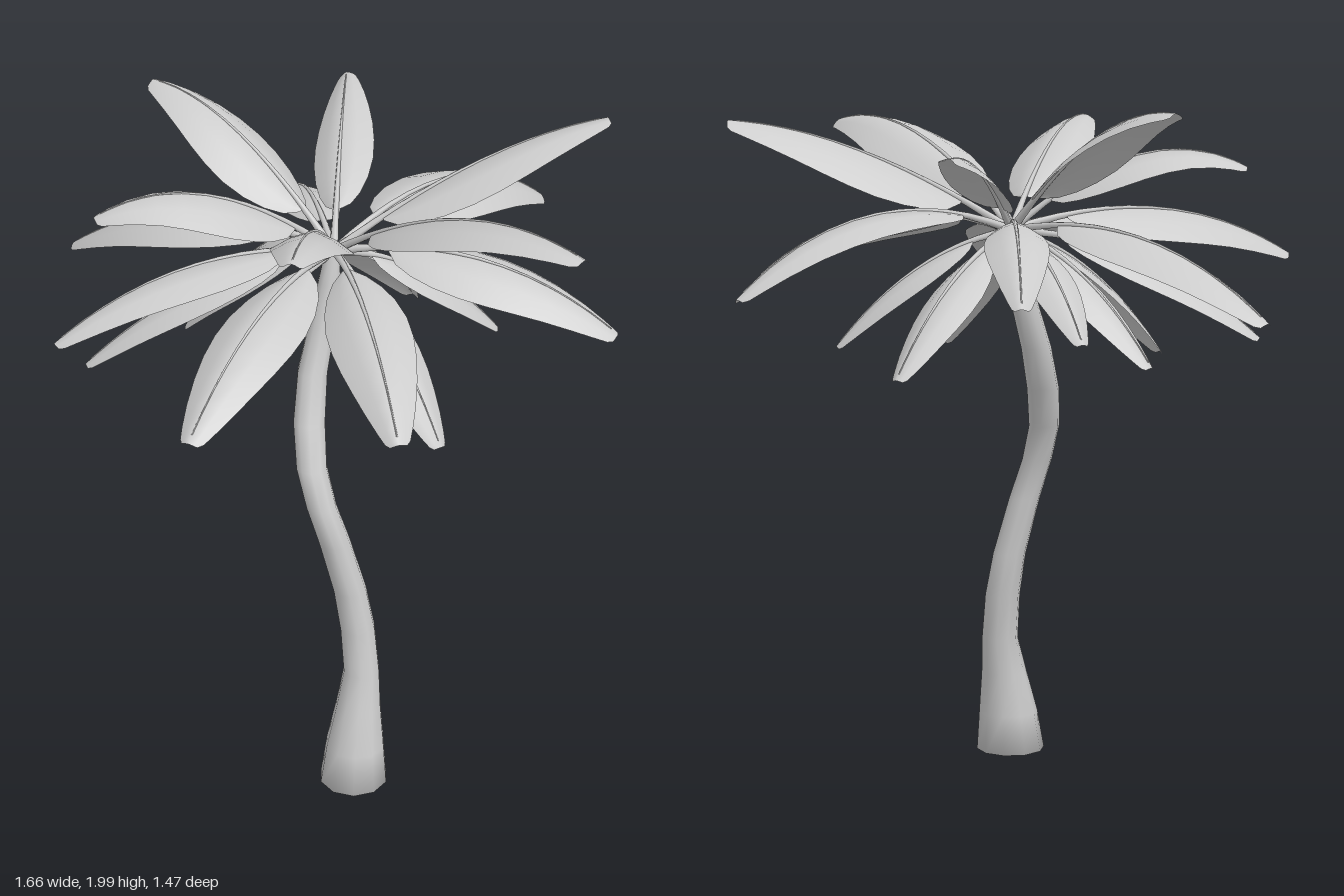
import * as THREE from 'three';

const V = (x, y, z) => new THREE.Vector3(x, y, z);
const grey = new THREE.MeshStandardMaterial({ color: 0xcccccc });
const leafGrey = new THREE.MeshStandardMaterial({ color: 0xcccccc, side: THREE.DoubleSide });

// Skin a list of cross-sections (each an array of points) into one smooth surface.
function loft(sections, closed) {
  const n = sections[0].length;
  const index = [];
  for (let i = 0; i < sections.length - 1; i++) {
    for (let j = 0; j < (closed ? n : n - 1); j++) {
      const a = i * n + j, b = i * n + (j + 1) % n;
      index.push(a, a + n, b, b, a + n, b + n);
    }
  }
  const geo = new THREE.BufferGeometry().setFromPoints(sections.flat());
  geo.setIndex(index);
  geo.computeVertexNormals();
  return geo;
}

// Ring of points spanned by two axes.
function ring(center, u, v, r, sides) {
  return Array.from({ length: sides }, (_, j) => {
    const a = (j / sides) * Math.PI * 2;
    return center.clone().addScaledVector(u, r * Math.cos(a)).addScaledVector(v, r * Math.sin(a));
  });
}

// Trunk stations: x, y, z, radius (the first closes the foot)
const TRUNK = [
  [-0.018, 0, 0.255, 0.001], [-0.018, 0, 0.255, 0.104], [-0.01, 0.12, 0.245, 0.09],
  [0.005, 0.25, 0.23, 0.069], [0.02, 0.36, 0.212, 0.055], [0.014, 0.5, 0.192, 0.053],
  [-0.005, 0.63, 0.176, 0.05], [-0.05, 0.8, 0.17, 0.047], [-0.085, 0.92, 0.15, 0.045],
  [-0.1, 1.03, 0.105, 0.046], [-0.088, 1.15, 0.045, 0.048], [-0.06, 1.28, -0.01, 0.045],
  [-0.02, 1.42, -0.04, 0.04], [0.005, 1.54, -0.052, 0.034], [0.015, 1.64, -0.058, 0.02],
];

function trunk() {
  const rings = TRUNK.map(([x, y, z, r]) => ring(V(x, y, z), V(1, 0, 0), V(0, 0, 1), r, 10));
  const mesh = new THREE.Mesh(loft(rings, true), grey);
  mesh.name = 'trunk';
  return mesh;
}

const CROWN = V(0.02, 1.63, -0.06);

// Leaves: tip x, y, z, half width, arch height, roll
const LEAVES = [
  // upper tier, rising
  [-0.36, 1.99, -0.59, 0.125, 0.09, 0], [0.27, 1.88, -0.71, 0.09, 0.06, -0.25],
  [0.46, 1.91, 0.72, 0.135, 0.11, -0.2], [0.83, 1.95, -0.02, 0.135, 0.06, -0.25],
  [-0.29, 1.93, 0.54, 0.11, 0.08, 0], [-0.66, 1.81, -0.12, 0.125, 0.12, 0],
  // middle tier, arching over
  [0.83, 1.49, -0.49, 0.13, 0.14, 0.2], [-0.59, 1.43, -0.73, 0.12, 0.11, 0],
  [0.08, 1.48, -0.73, 0.09, 0.11, 0], [0.72, 1.47, 0.38, 0.125, 0.11, 0.1],
  [-0.05, 1.44, 0.72, 0.115, 0.1, 0.15], [-0.58, 1.44, 0.54, 0.12, 0.1, 0],
  [-0.83, 1.54, 0.07, 0.12, 0.1, 0.25],
  // lower tier, drooping
  [0.39, 1.25, -0.42, 0.09, 0.07, 0], [-0.11, 1.36, -0.57, 0.075, 0.07, 0],
  [0.53, 1.3, -0.06, 0.09, 0.07, 0], [0.17, 1.24, 0.45, 0.09, 0.07, 0],
  [-0.69, 1.32, -0.18, 0.095, 0.08, 0.15], [-0.46, 1.24, 0.15, 0.09, 0.07, 0],
  [-0.33, 1.27, -0.41, 0.09, 0.07, 0],
];

// Blade outline: position along the leaf, share of half width
const BLADE = [
  [0.19, 0.12], [0.22, 0.42], [0.28, 0.68], [0.36, 0.88], [0.46, 1], [0.56, 1],
  [0.66, 0.92], [0.76, 0.78], [0.86, 0.6], [0.94, 0.42], [0.985, 0.3], [1, 0.2],
];

function leaf([x, y, z, halfWidth, arch, roll]) {
  const group = new THREE.Group();
  group.name = 'leaf';
  const tip = V(x, y, z);
  // bend placed past the middle, so the leaf curls toward its tip
  const bend = CROWN.clone().lerp(tip, 0.56).add(V(0, arch * 2, 0));
  const spine = new THREE.QuadraticBezierCurve3(CROWN, bend, tip);
  const side = V(0, 1, 0).cross(tip.clone().sub(CROWN)).normalize();
  const frame = t => {
    const tangent = spine.getTangentAt(t);
    const s = side.clone().applyAxisAngle(tangent, roll);
    return { p: spine.getPointAt(t), s, up: tangent.cross(s).normalize() };
  };

  // arched blade, folded gently along the midrib
  const sections = BLADE.map(([t, share]) => {
    const { p, s, up } = frame(t);
    const w = halfWidth * share;
    return [-1, -0.5, 0, 0.5, 1].map(k => p.clone()
      .addScaledVector(s, w * k)
      .addScaledVector(up, -w * (0.22 * Math.abs(k) + 0.28 * k * k)));
  });
  const blade = new THREE.Mesh(loft(sections, false), leafGrey);
  blade.name = 'leafBlade';

  // stalk tapering into the midrib
  const rings = Array.from({ length: 13 }, (_, i) => {
    const t = (i / 12) * 0.97;
    const { p, s, up } = frame(t);
    return ring(p, s, up, 0.002 + 0.011 * Math.pow(1 - t, 2), 6);
  });
  const stalk = new THREE.Mesh(loft(rings, true), leafGrey);
  stalk.name = 'leafStalk';
  group.add(blade, stalk);
  return group;
}

export function createModel() {
  const model = new THREE.Group();
  model.name = 'palmTree';
  const crown = new THREE.Group();
  crown.name = 'crown';
  LEAVES.forEach(l => crown.add(leaf(l)));
  model.add(trunk(), crown);
  return model;
}
